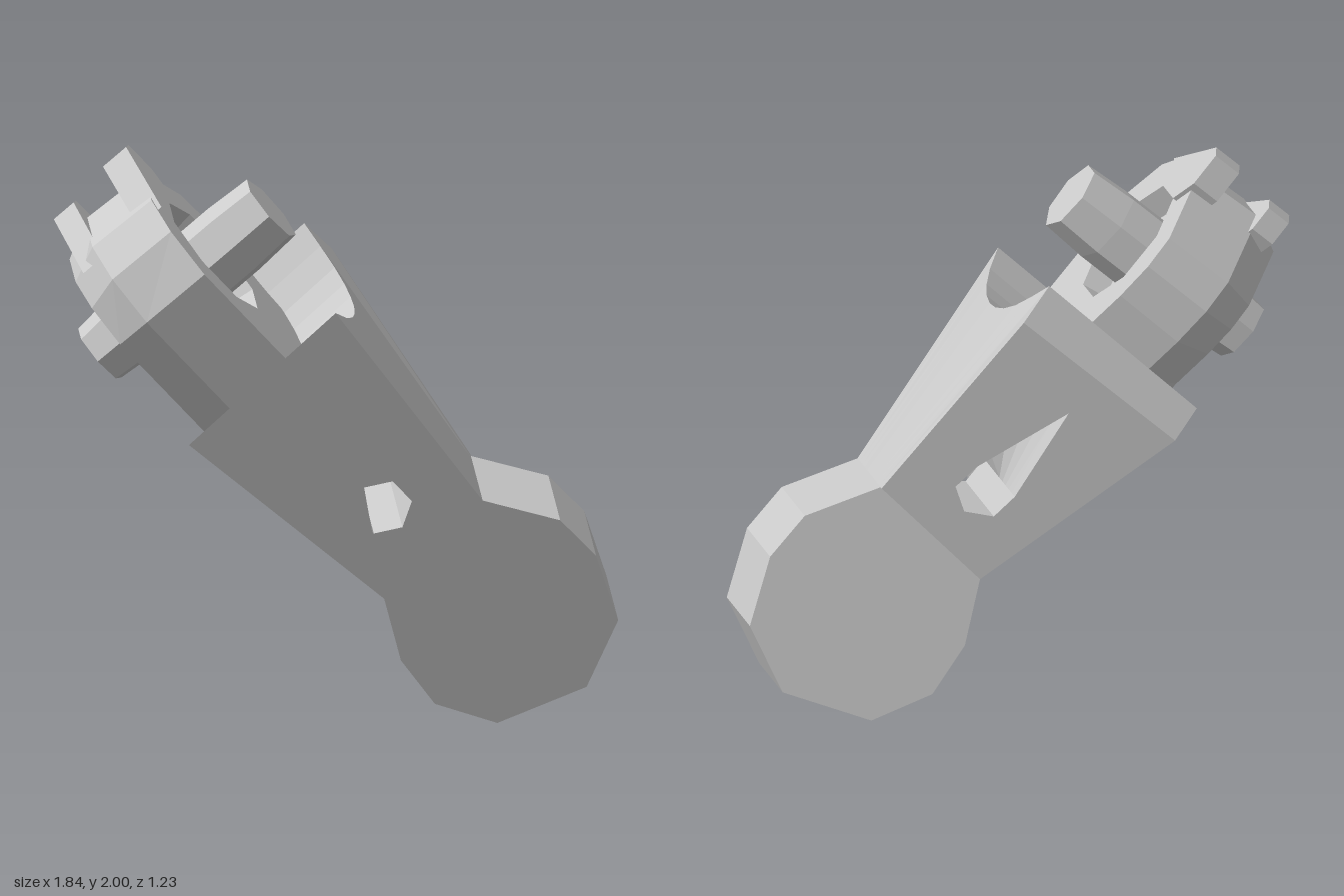
import * as THREE from 'three';

const material = new THREE.MeshStandardMaterial({ color: 0xcccccc, flatShading: true, side: THREE.DoubleSide });

// Local axes: x across the arm (pin axis), y along the arm, z along the ring axis
const FRONT = -0.115;             // flush front side of the arm
const RING = { x: 0.245, y: 1.5 }; // centre of the ring

function toShape(points) {
  return new THREE.Shape(points.map(([x, y]) => new THREE.Vector2(x, y)));
}

function polygonPoints(cx, cy, radius, sides, start = 0) {
  return Array.from({ length: sides }, (_, i) => {
    const angle = start + (i / sides) * Math.PI * 2;
    return new THREE.Vector2(cx + radius * Math.cos(angle), cy + radius * Math.sin(angle));
  });
}

// Extrudes a shape by depth 1 and moves every vertex by a rule (x, y, t) -> [x, y, z]
function extrudeBy(shape, steps, rule) {
  const geometry = new THREE.ExtrudeGeometry(shape, { depth: 1, steps, bevelEnabled: false });
  const pos = geometry.attributes.position;
  for (let i = 0; i < pos.count; i++) {
    pos.setXYZ(i, ...rule(pos.getX(i), pos.getY(i), pos.getZ(i)));
  }
  geometry.computeVertexNormals();
  return geometry;
}

function addPart(parent, name, geometry) {
  const mesh = new THREE.Mesh(geometry, material);
  mesh.name = name;
  parent.add(mesh);
}

// Rounded lower knuckle, profile given as [along, height]
function knuckleGeometry() {
  const shape = toShape([
    [0.32, 0.9], [0.083, 1.046], [-0.1, 1.05], [-0.33, 0.95], [-0.44, 0.71],
    [-0.33, 0.4], [-0.13, 0.29], [0.07, 0.31], [0.28, 0.417],
  ]);
  return extrudeBy(shape, 1, (u, r, t) => [FRONT + 0.415 * t, u, r]);
}

// Arm that flares to the back, with a through hole, a slot and a concave end
function armGeometry() {
  const END = 1.15;   // marks the vertices that follow the concave end
  const STEPS = 10;
  const SLOT = 0.935; // tip of the slot on the back side
  const shape = toShape([[0.28, 0.417], [END, 0.3], [END, 0.985], [0.32, 0.9]]);
  const hole = polygonPoints(0.535, 0.635, 0.1, 6);
  hole[0].x = SLOT;
  shape.holes.push(new THREE.Path(hole));
  return extrudeBy(shape, STEPS, (u, r, t) => {
    if (u > END - 0.01) {
      // concave arc around the ring, then a bevelled tip at the back
      if (t > 1 - 0.5 / STEPS) return [0.66, 1.09, r];
      const a = FRONT + 0.735 * t * STEPS / (STEPS - 1);
      const d = a - 0.22;
      const arc = Math.min(1.24, 1.5 - Math.sqrt(0.46 ** 2 - d * d));
      return [a, r < 0.5 ? arc - 0.02 : arc, r];
    }
    if (Math.abs(u - SLOT) < 1e-4) {
      u -= 0.3 * Math.min(1, 2 - 2 * t); // slot only opens in the back half
    }
    const back = 0.3 + 0.36 * (u - 0.28) / 0.81;
    return [FRONT + (back - FRONT) * t, u, r];
  });
}

// Ring with its neck, widest at mid height and bevelled underneath
function ringGeometry() {
  const shape = toShape([
    [-0.115, 1.0], [0.45, 1.0], [0.49, 1.18], [0.57, 1.36], [0.605, 1.5], [0.59, 1.62],
    [0.385, 1.84], [0.135, 1.84], [-0.01, 1.76], [-0.115, 1.6],
  ]);
  shape.holes.push(new THREE.Path(polygonPoints(RING.x, RING.y, 0.235, 8, Math.PI / 8)));
  const layers = [
    { z: 0.36, outer: 0.84, inner: 0.9 },
    { z: 0.49, outer: 1.03, inner: 0.82 },
    { z: 0.75, outer: 1, inner: 1 },
  ];
  return extrudeBy(shape, 2, (x, y, t) => {
    const layer = layers[Math.round(t * 2)];
    const dx = x - RING.x, dy = y - RING.y;
    const s = Math.hypot(dx, dy) < 0.25 ? layer.inner : layer.outer;
    return [Math.max(FRONT, RING.x + dx * s), RING.y + dy * s, layer.z];
  });
}

// Floor that closes the ring around the bolt
function floorGeometry() {
  return new THREE.CylinderGeometry(0.22, 0.21, 0.1, 8)
    .rotateX(Math.PI / 2).rotateZ(Math.PI / 8).translate(RING.x, RING.y, 0.61);
}

// Wedge-shaped ear on the rim of the ring
function earGeometry(low, high, reach) {
  const shape = toShape([
    [0.38, 1.72], [0.46, 1.81], [0.455, reach - 0.02], [0.4, reach], [0.1, 1.81],
  ]);
  return extrudeBy(shape, 1, (x, y, t) => [x, y, low + (high - low) * t]);
}

// Faceted bolt through the ring
function boltGeometry() {
  const profile = [[0, 0.23], [0.115, 0.23], [0.14, 0.5], [0.14, 0.84], [0.13, 1.01], [0, 1.01]]
    .map(([x, y]) => new THREE.Vector2(x, y));
  return new THREE.LatheGeometry(profile, 7).rotateX(Math.PI / 2).translate(0.23, RING.y, 0);
}

export function createModel() {
  const model = new THREE.Group();
  model.name = 'jointedArm';

  // Whole arm leans back and to one side
  const across = new THREE.Vector3(0.46, 0.22, -0.86).normalize();
  const ringAxis = new THREE.Vector3(0.585, 0.66, 0.48);
  const along = ringAxis.clone().cross(across).normalize();
  ringAxis.crossVectors(across, along);
  const arm = new THREE.Group();
  arm.name = 'tiltedArm';
  arm.quaternion.setFromRotationMatrix(new THREE.Matrix4().makeBasis(across, along, ringAxis));
  model.add(arm);

  addPart(arm, 'lowerKnuckle', knuckleGeometry());
  addPart(arm, 'armBody', armGeometry());
  addPart(arm, 'upperRing', ringGeometry());
  addPart(arm, 'ringFloor', floorGeometry());
  addPart(arm, 'upperEar', earGeometry(0.66, 0.765, 1.95));
  addPart(arm, 'lowerEar', earGeometry(0.41, 0.5, 1.92));
  addPart(arm, 'bolt', boltGeometry());
  return model;
}
